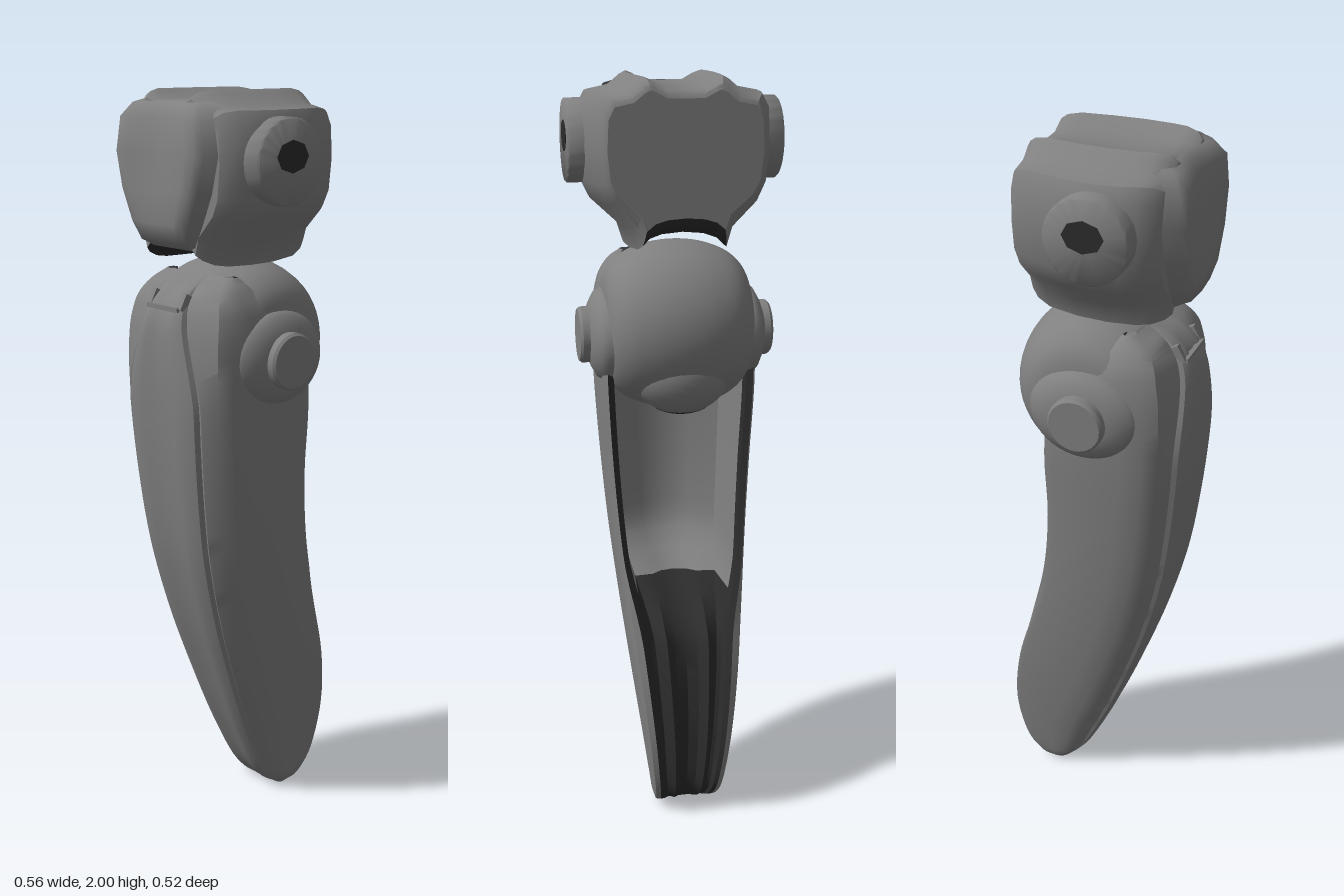
import * as THREE from 'three';
import { toCreasedNormals } from 'three/addons/utils/BufferGeometryUtils.js';

const gray = new THREE.MeshStandardMaterial({ color: 0x808080, side: THREE.DoubleSide });
gray.name = 'grey casing';
const dark = new THREE.MeshStandardMaterial({ color: 0x2c2c2c, side: THREE.DoubleSide });
dark.name = 'dark lining';

const V = (x, y, z) => new THREE.Vector3(x, y, z);
const { lerp, smoothstep } = THREE.MathUtils;

function part(name, geo, mat) {
  const m = new THREE.Mesh(geo, mat);
  m.name = name;
  return m;
}

// Skin a grid of points (rows of equal length)
function surface(name, rows, mat, crease = 0.6) {
  const n = rows[0].length, idx = [];
  for (let i = 0; i < rows.length - 1; i++) {
    for (let j = 0; j < n - 1; j++) {
      const a = i * n + j, b = a + 1, c = a + n, d = c + 1;
      idx.push(a, b, d, a, d, c);
    }
  }
  const g = new THREE.BufferGeometry().setFromPoints(rows.flat());
  g.setIndex(idx);
  return part(name, toCreasedNormals(g, crease), mat);
}

// Mirror a half row, running from the centre outwards, to a full row
const mirrorRow = (half) => [
  ...half.slice().reverse().map((p) => V(-p.x, p.y, p.z)),
  ...half.slice(1),
];

// Leg sections: y, half width, front z, back z
const LEG = [
  [0.003, 0.07, -0.12, -0.15], [0.03, 0.09, -0.085, -0.19], [0.1, 0.101, -0.035, -0.235],
  [0.25, 0.119, 0.035, -0.258], [0.42, 0.139, 0.1, -0.237], [0.6, 0.159, 0.16, -0.182],
  [0.8, 0.179, 0.21, -0.125], [1.0, 0.194, 0.238, -0.1], [1.2, 0.205, 0.254, -0.1],
  [1.35, 0.206, 0.256, -0.08], [1.45, 0.195, 0.242, 0.0], [1.51, 0.166, 0.195, 0.06],
  [1.545, 0.13, 0.128, 0.09],
];
// Front relief: fraction of half width, depth behind the front line
const RELIEF = [
  [0, 0.004], [0.2, 0.006], [0.32, 0], [0.5, 0.002], [0.63, 0.012],
  [0.66, 0.026], [0.71, 0.022], [0.88, 0.05], [0.97, 0.085], [1, 0.14],
];

function makeLeg() {
  const leg = new THREE.Group();
  leg.name = 'leg';
  const spline = (k) => new THREE.CatmullRomCurve3(
    LEG.map((r) => V(r[1], r[0], r[k])), false, 'catmullrom', 0.5);
  const front = spline(2), back = spline(3);
  const outer = [], rimL = [], rimR = [], inner = [];
  const N = 60;
  for (let i = 0; i <= N; i++) {
    const f = front.getPoint(i / N), b = back.getPoint(i / N);
    const w = f.x, y = f.y, D = f.z - b.z;
    const s = smoothstep(y, 0.5, 0.75);
    const narrow = 1 - 0.45 * smoothstep(y, 1.2, 1.5);
    const lim = (d) => Math.min(d, d * D * 4);
    // Outer casing, wrapped round to the rear rim; the front panel narrows at the top
    const half = RELIEF.map(([u, d]) => V(u * w * (u < 0.8 ? narrow : 1), y, f.z - lim(d)));
    half.push(V(w * 0.99, y, b.z + D * 0.07), V(w * 0.95, y, b.z + D * 0.02),
      V(w * (0.82 + 0.12 * s), y, b.z));
    outer.push(mirrorRow(half));
    // Dark band inside the rear rim
    const bandX = w * (0.66 + 0.18 * s), bandZ = b.z + lim(0.035);
    const rim = [V(w * (0.82 + 0.12 * s), y, b.z), V(w * (0.72 + 0.14 * s), y, b.z + D * 0.03),
      V(bandX, y, bandZ)];
    rimL.push(rim);
    rimR.push(rim.map((p) => V(-p.x, p.y, p.z)));
    // Channel: shallow with two ridges below, deep above
    const at = (low, high) => lerp(b.z + lim(low), f.z - lim(high), s);
    inner.push(mirrorRow([V(0, y, at(0.045, 0.04)), V(w * 0.22, y, at(0.035, 0.045)),
      V(w * 0.38, y, at(0.003, 0.055)), V(w * (0.58 + 0.2 * s), y, at(0.04, 0.09)),
      V(bandX, y, bandZ)]));
  }
  const split = inner.findIndex((r) => r[0].y > 0.62);
  leg.add(
    surface('legCasing', outer, gray, 0.6),
    surface('leftRimBand', rimL, dark),
    surface('rightRimBand', rimR, dark),
    surface('lowerChannel', inner.slice(0, split + 1), dark),
    surface('upperChannel', inner.slice(split), gray),
  );
  // Clip at the top of the front panel
  const bar = part('frontClip', new THREE.BoxGeometry(0.12, 0.012, 0.03), gray);
  bar.position.set(0, 1.468, 0.222);
  leg.add(bar);
  for (const s of [-1, 1]) {
    const hook = part('clipHook', new THREE.BoxGeometry(0.016, 0.045, 0.03), gray);
    hook.position.set(s * 0.06, 1.482, 0.208);
    hook.rotation.x = -0.5;
    leg.add(hook);
  }
  return leg;
}

// Barrel-shaped joint turned about the x axis, with side hubs
function makeJoint() {
  const joint = new THREE.Group();
  joint.name = 'kneeJoint';
  const prof = new THREE.SplineCurve([[0, -0.198], [0.12, -0.19], [0.18, -0.15], [0.212, -0.08],
    [0.222, 0], [0.212, 0.08], [0.18, 0.15], [0.12, 0.19], [0, 0.198]]
    .map((p) => new THREE.Vector2(...p))).getPoints(40);
  prof.forEach((p) => { p.x = Math.max(0, p.x); });
  const ball = part('jointBall', new THREE.LatheGeometry(prof, 48), gray);
  ball.rotation.z = -Math.PI / 2;
  ball.position.set(0, 1.36, 0);
  joint.add(ball);
  // Lower rear bulge with a dark underside
  const bulge = part('jointBulge', new THREE.SphereGeometry(0.11, 32, 20), gray);
  const base = part('bulgeUnderside',
    new THREE.SphereGeometry(0.112, 32, 6, 0, Math.PI * 2, Math.PI * 0.83, Math.PI * 0.17), dark);
  for (const m of [bulge, base]) {
    m.scale.x = 1.2;
    m.position.set(0, 1.252, -0.095);
    joint.add(m);
  }
  const hubProfile = [[0.15, 0.15], [0.149, 0.192], [0.135, 0.21], [0.105, 0.224], [0.08, 0.232], [0, 0.234]]
    .map((p) => new THREE.Vector2(...p));
  const pinProfile = [[0.074, 0.2], [0.074, 0.25], [0.068, 0.257], [0, 0.257]]
    .map((p) => new THREE.Vector2(...p));
  for (const s of [-1, 1]) {
    const side = s > 0 ? 'left' : 'right';
    const hub = part(side + 'Hub', toCreasedNormals(new THREE.LatheGeometry(hubProfile, 40), 0.8), gray);
    hub.scale.x = 0.83;
    const pin = part(side + 'Pin', toCreasedNormals(new THREE.LatheGeometry(pinProfile, 32), 0.6), gray);
    for (const m of [hub, pin]) {
      m.rotation.z = -s * Math.PI / 2;
      m.position.set(0, 1.336, 0.012);
      joint.add(m);
    }
  }
  return joint;
}

function makeHead() {
  const head = new THREE.Group();
  head.name = 'upperBlock';
  // Half outline from top centre, round the side, to the lower skirt
  const top = [[0, 1.976], [0.06, 1.977], [0.095, 1.994], [0.112, 2.0], [0.13, 1.992], [0.165, 1.966],
    [0.225, 1.955], [0.245, 1.92], [0.25, 1.83], [0.24, 1.74], [0.215, 1.69], [0.145, 1.625],
    [0.128, 1.572]];
  const under = [[0, 1.615], [0.06, 1.61], [0.1, 1.597], [0.128, 1.572]];
  // Depth stations: z, width scale, scale above and below mid height
  const st = [[-0.165, 0.78, 0.86, 0.73], [-0.16, 0.8, 0.92, 0.8], [-0.145, 0.83, 0.97, 0.9],
    [-0.11, 0.89, 1, 0.97], [-0.03, 0.97, 1, 1], [0.05, 1, 1, 1], [0.12, 0.96, 1, 0.99],
    [0.16, 0.9, 1, 0.96], [0.19, 0.82, 0.97, 0.9], [0.205, 0.75, 0.9, 0.84]];
  const MID = 1.79;
  const place = ([x, y], [z, sx, up, down]) => V(x * sx, MID + (y - MID) * (y > MID ? up : down), z);
  const rows = (half) => st.map((k) => mirrorRow(half.map((p) => place(p, k))));
  head.add(surface('blockShell', rows(top), gray, 0.6), surface('blockUnderside', rows(under), dark));
  // Flat end faces
  for (const [name, k] of [['backFace', st[0]], ['frontFace', st[st.length - 1]]]) {
    const half = [...top, ...under.slice(0, -1).reverse()];
    const loop = [...half, ...half.slice(1, -1).reverse().map(([x, y]) => [-x, y])];
    const shape = new THREE.Shape(loop.map((p) => {
      const q = place(p, k);
      return new THREE.Vector2(q.x, q.y);
    }));
    const face = part(name, new THREE.ShapeGeometry(shape), gray);
    face.position.z = k[0];
    head.add(face);
  }
  // Dished shield on the front: y, half width, edge z, middle z
  const shield = [[1.975, 0.092, 0.19, 0.19], [1.968, 0.115, 0.222, 0.21], [1.935, 0.138, 0.25, 0.228],
    [1.85, 0.152, 0.254, 0.238], [1.76, 0.128, 0.256, 0.25], [1.68, 0.092, 0.254, 0.254],
    [1.635, 0.07, 0.242, 0.246], [1.615, 0.062, 0.2, 0.2]];
  head.add(surface('frontShield', shield.map(([y, w, edge, mid]) => {
    const half = [0, 0.25, 0.5, 0.75, 1].map((u) => V(u * w, y, lerp(mid, edge, smoothstep(u, 0, 1))));
    half.push(V(w + 0.018, y, lerp(0.19, edge, 0.75)), V(w + 0.042, y, 0.18));
    return mirrorRow(half);
  }), gray, 1));
  // Round side caps with dark sockets
  const capProfile = [[0.106, 0.19], [0.106, 0.273], [0.102, 0.277], [0, 0.277]]
    .map((p) => new THREE.Vector2(...p));
  for (const s of [-1, 1]) {
    const cap = part(s > 0 ? 'leftCap' : 'rightCap',
      toCreasedNormals(new THREE.LatheGeometry(capProfile, 40), 0.9), gray);
    cap.rotation.z = -s * Math.PI / 2;
    cap.position.set(0, 1.835, 0.055);
    const socket = part('capSocket', new THREE.CylinderGeometry(0.052, 0.052, 0.004, 8), dark);
    socket.rotation.z = Math.PI / 2;
    socket.scale.x = 0.76;
    socket.position.set(s * 0.277, 1.848, 0.05);
    head.add(cap, socket);
  }
  return head;
}

export function createModel() {
  const model = new THREE.Group();
  model.name = 'jointedLeg';
  model.add(makeLeg(), makeJoint(), makeHead());
  return model;
}
